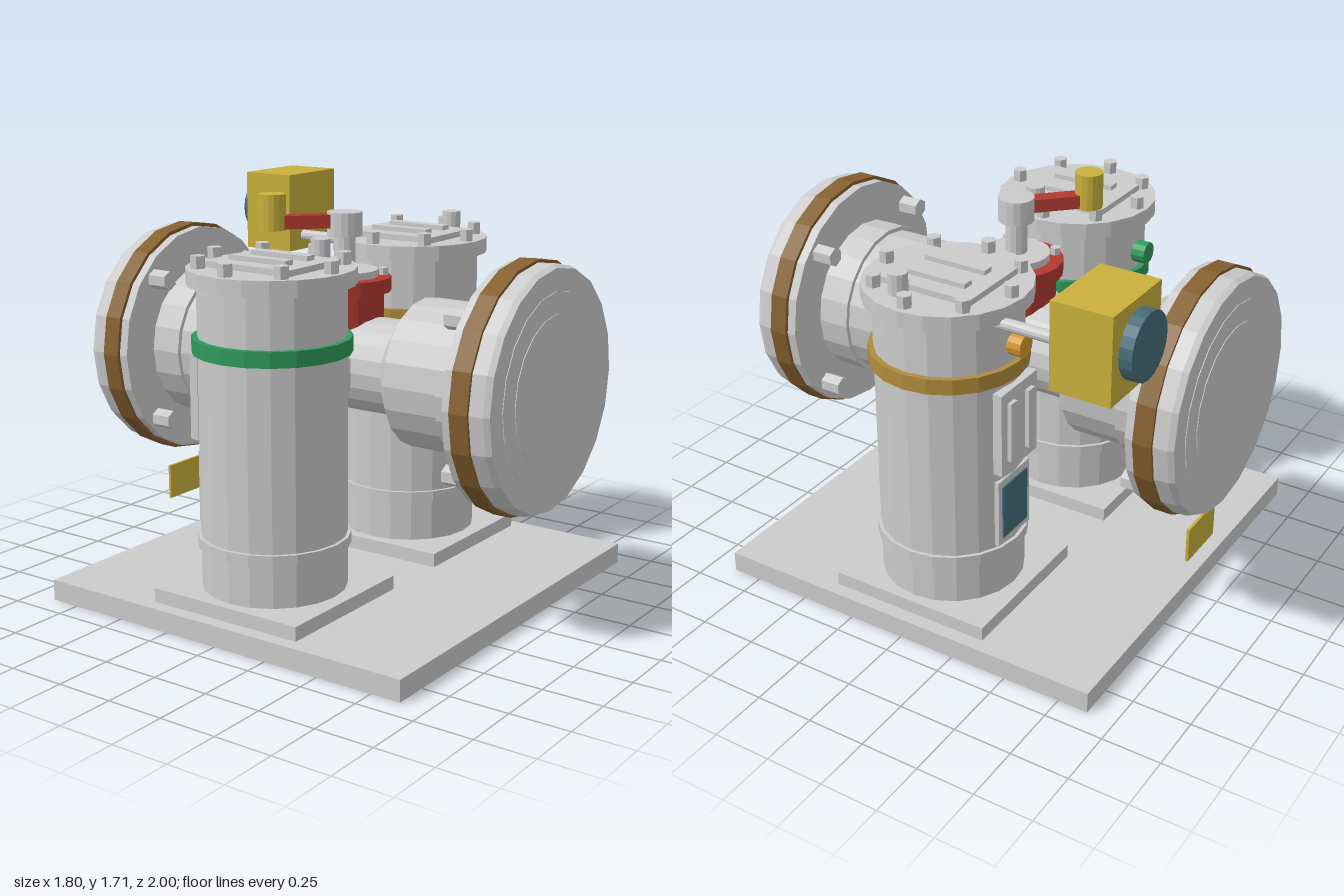
import * as THREE from 'three';

const mat = (color) => new THREE.MeshStandardMaterial({ color, flatShading: true });
const GREY = mat(0xcccccc), RED = mat(0xb23a30), YELLOW = mat(0xc9b03c), BROWN = mat(0x85602f),
  TEAL = mat(0x456b78), GREEN = mat(0x2f9a5c), GOLD = mat(0xb08c3c), ORANGE = mat(0xd69a2c);

function add(parent, name, geometry, material, x = 0, y = 0, z = 0) {
  const mesh = new THREE.Mesh(geometry, material);
  mesh.name = name;
  mesh.position.set(x, y, z);
  parent.add(mesh);
  return mesh;
}

// Box given by its centre in x and z and its span in y
const block = (parent, name, m, w, d, y0, y1, x = 0, z = 0) =>
  add(parent, name, new THREE.BoxGeometry(w, y1 - y0, d), m, x, (y0 + y1) / 2, z);

// Upright cylinder spanning y0..y1
const post = (parent, name, m, r, y0, y1, x = 0, z = 0, sides = 20) =>
  add(parent, name, new THREE.CylinderGeometry(r, r, y1 - y0, sides), m, x, (y0 + y1) / 2, z);

// Cylinder or cone lying along z, radius r0 at z0 and r1 at z1
function barrel(parent, name, m, r0, r1, z0, z1, x = 0, y = 0, sides = 20) {
  const g = new THREE.CylinderGeometry(r1, r0, z1 - z0, sides).rotateX(Math.PI / 2);
  return add(parent, name, g, m, x, y, (z0 + z1) / 2);
}

function tower(side) {
  const g = new THREE.Group();
  g.name = side > 0 ? 'leftTower' : 'rightTower';
  g.position.x = side * 0.5;
  block(g, 'towerPad', GREY, 0.68, 0.72, 0.09, 0.15);
  post(g, 'towerBody', GREY, 0.3, 0.15, 1.41);
  post(g, 'lowerRing', GREY, 0.315, 0.33, 0.375);
  post(g, 'colourBand', side > 0 ? GOLD : GREEN, 0.323, 1.13, 1.195);
  post(g, 'topFlange', GREY, 0.34, 1.405, 1.47);

  // Lid bolts and vent
  for (let i = 0; i < 8; i++) {
    const a = (i * Math.PI) / 4;
    post(g, 'lidBolt', GREY, 0.031, 1.47, 1.52, 0.29 * Math.cos(a), 0.29 * Math.sin(a), 6);
  }
  post(g, 'vent', GREY, 0.04, 1.47, 1.56, 0.21, 0.085, 12);

  // Lid plate with plain raised ribs
  block(g, 'lidPlate', GREY, 0.34, 0.42, 1.47, 1.495);
  for (const s of [-1, 1]) block(g, 'lidRib', GREY, 0.05, 0.28, 1.495, 1.515, s * 0.07);

  // Rear button, ribbed plaque and framed panel
  barrel(g, 'rearButton', side > 0 ? ORANGE : GREEN, 0.047, 0.047, -0.355, -0.28, 0, 1.27, 12);
  block(g, 'rearPlaque', GREY, 0.26, 0.04, 0.74, 1.1, 0, -0.305);
  for (const s of [-1, 1]) block(g, 'plaqueRib', GREY, 0.045, 0.02, 0.79, 1.05, s * 0.065, -0.333);
  block(g, 'panelFrame', GREY, 0.23, 0.02, 0.39, 0.69, 0, -0.29);
  block(g, 'rearPanel', TEAL, 0.18, 0.03, 0.42, 0.66, 0, -0.292);
  return g;
}

function hornEnd() {
  const g = new THREE.Group();
  g.name = 'pipeEnd';
  g.position.y = 1;
  barrel(g, 'reducerCone', GREY, 0.2, 0.31, 0.315, 0.4);
  barrel(g, 'wideBarrel', GREY, 0.31, 0.31, 0.4, 0.8);
  barrel(g, 'barrelCollar', GREY, 0.328, 0.328, 0.65, 0.8);
  barrel(g, 'rearFlange', GREY, 0.5, 0.5, 0.79, 0.84);
  barrel(g, 'flangeBand', BROWN, 0.515, 0.515, 0.83, 0.91);
  barrel(g, 'frontFlange', GREY, 0.503, 0.5, 0.91, 0.97);
  barrel(g, 'endRing', GREY, 0.5, 0.49, 0.97, 0.994);
  barrel(g, 'endDisc', GREY, 0.4, 0.4, 0.98, 0.997);
  barrel(g, 'endWindow', GREY, 0.31, 0.31, 0.98, 1);
  // Flange nuts on the diagonals
  for (const x of [-0.31, 0.31]) for (const y of [-0.31, 0.31])
    barrel(g, 'flangeNut', GREY, 0.042, 0.042, 0.7, 0.8, x, y, 6);
  return g;
}

function valve() {
  const g = new THREE.Group();
  g.name = 'valve';
  post(g, 'valveBody', RED, 0.165, 1.12, 1.31);
  post(g, 'valveFlange', RED, 0.195, 1.3, 1.36);
  post(g, 'valveCap', GREY, 0.14, 1.36, 1.39);
  post(g, 'valveStem', GREY, 0.045, 1.39, 1.54, 0, 0, 12);
  post(g, 'valveHub', GREY, 0.075, 1.53, 1.63, 0, 0, 16);
  for (let i = 0; i < 4; i++) {
    const a = Math.PI / 4 + (i * Math.PI) / 2;
    post(g, 'valveBolt', GREY, 0.022, 1.36, 1.39, 0.165 * Math.cos(a), 0.165 * Math.sin(a), 6);
  }
  // Crank arm running diagonally to its knob
  const arm = block(g, 'crankArm', RED, 0.3, 0.065, 1.565, 1.62, -0.107, -0.107);
  arm.rotation.y = -Math.PI / 4;
  post(g, 'crankKnob', YELLOW, 0.058, 1.56, 1.71, -0.215, -0.215, 16);
  return g;
}

export function createModel() {
  const model = new THREE.Group();
  model.name = 'pumpUnit';
  block(model, 'basePlate', GREY, 1.8, 1.76, 0, 0.09);
  model.add(tower(1), tower(-1));

  // Main pipe with matching ends
  barrel(model, 'mainPipe', GREY, 0.2, 0.2, -0.33, 0.33, 0, 1);
  const front = hornEnd(), back = hornEnd();
  back.rotation.y = Math.PI;
  model.add(front, back);

  // Short cross pipe joining the towers
  const cross = barrel(model, 'crossPipe', GREY, 0.14, 0.14, -0.25, 0.25, 0, 1);
  cross.rotation.y = Math.PI / 2;
  for (const s of [-1, 1]) {
    const collar = barrel(model, 'crossCollar', GREY, 0.17, 0.17, -0.025, 0.025, s * 0.2, 1);
    collar.rotation.y = Math.PI / 2;
  }
  model.add(valve());

  // Gauge box on its rod
  barrel(model, 'gaugeRod', GREY, 0.025, 0.025, -0.67, -0.24, 0.6, 1.4, 12);
  block(model, 'gaugeBox', YELLOW, 0.355, 0.25, 1.335, 1.69, 0.668, -0.785);
  barrel(model, 'gaugeDial', TEAL, 0.134, 0.134, -0.963, -0.9, 0.668, 1.515);

  // Hanging tag at the rear
  block(model, 'rearTag', YELLOW, 0.24, 0.012, 0.245, 0.4, 0, -0.902);
  return model;
}
